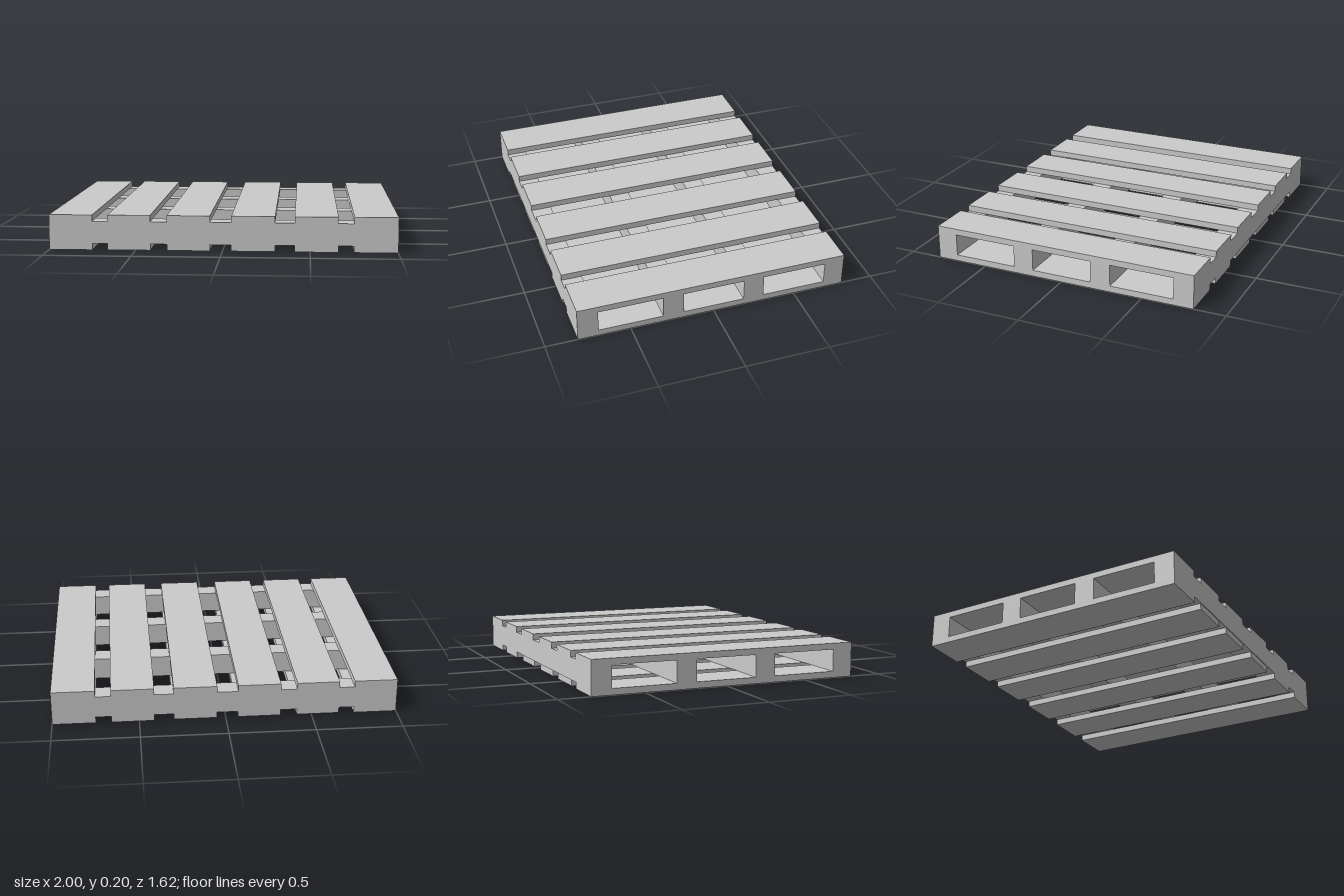
import * as THREE from 'three';

// Slatted pallet: four stringers between six top and six bottom boards
export function createModel() {
  const group = new THREE.Group();
  const material = new THREE.MeshStandardMaterial({ color: 0xcccccc, flatShading: true });

  const addBox = (name, [x0, x1], [y0, y1], [z0, z1]) => {
    const mesh = new THREE.Mesh(new THREE.BoxGeometry(x1 - x0, y1 - y0, z1 - z0), material);
    mesh.name = name;
    mesh.position.set((x0 + x1) / 2, (y0 + y1) / 2, (z0 + z1) / 2);
    group.add(mesh);
  };

  const halfDepth = 0.81;
  const low = 0.037, high = 0.166, top = 0.203;

  // Boards run front to back; the inner bottom ones are set in slightly
  const boards = [[-1, -0.75], [-0.662, -0.415], [-0.32, -0.072], [0.05, 0.3], [0.412, 0.66], [0.75, 1]];
  boards.forEach((span, i) => {
    const inset = i >= 1 && i <= 3 ? 0.005 : 0;
    addBox(`topBoard${i + 1}`, span, [high, top], [-halfDepth, halfDepth]);
    addBox(`bottomBoard${i + 1}`, span, [0, low], [-halfDepth + inset, halfDepth - inset]);
  });

  // Stringers run side to side
  const stringers = [[-halfDepth, -0.69], [-0.307, -0.185], [0.182, 0.304], [0.688, halfDepth]];
  stringers.forEach((span, i) => addBox(`stringer${i + 1}`, [-1, 1], [low, high], span));

  return group;
}
